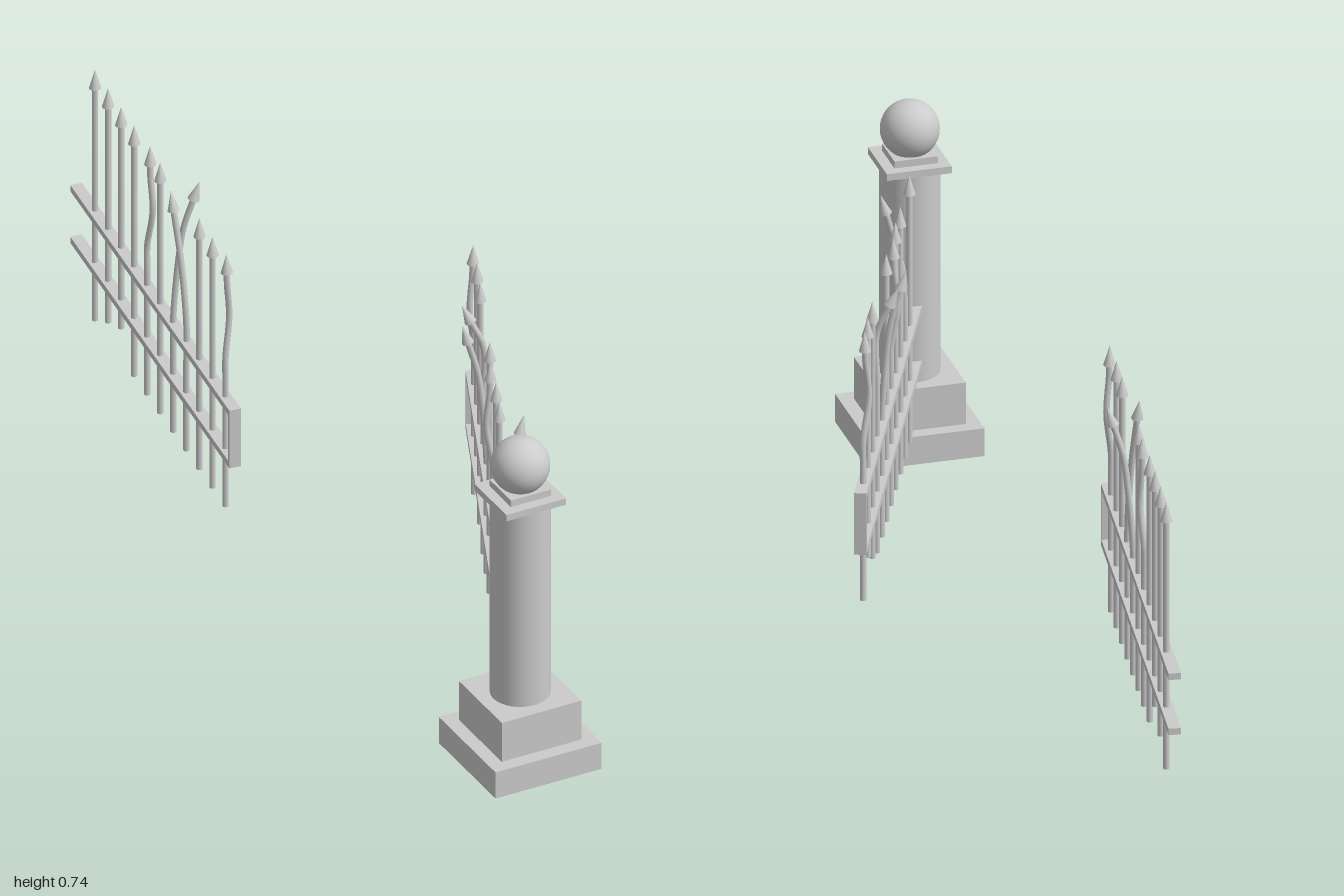
import * as THREE from 'three';

const material = new THREE.MeshStandardMaterial({ color: 0xcccccc, side: THREE.DoubleSide });
const UP = new THREE.Vector3(0, 1, 0);
const TOP = 0.605, BOTTOM = 0.062, BAR_RADIUS = 0.0065;

function add(parent, name, geometry, x = 0, y = 0, z = 0) {
  const mesh = new THREE.Mesh(geometry, material);
  mesh.name = name;
  mesh.position.set(x, y, z);
  parent.add(mesh);
  return mesh;
}

// Stone pillar: stepped base, round shaft, square cap and ball
function createPillar() {
  const pillar = new THREE.Group();
  pillar.name = 'pillar';
  const slab = (name, width, y0, y1) =>
    add(pillar, name, new THREE.BoxGeometry(width, y1 - y0, width), 0, (y0 + y1) / 2, 0);
  slab('lowerPlinth', 0.24, 0, 0.061);
  slab('upperPlinth', 0.18, 0.061, 0.152);
  add(pillar, 'shaft', new THREE.CylinderGeometry(0.061, 0.061, 0.455, 40), 0, 0.3785, 0);
  slab('cap', 0.135, 0.605, 0.62);
  slab('neck', 0.09, 0.62, 0.635);
  add(pillar, 'ball', new THREE.SphereGeometry(0.06, 32, 20), 0, 0.682, 0);
  return pillar;
}

// One spear-topped bar; bend is a list of [dx, y, dz] above the straight foot
function createBar(x, z, bottom, bend) {
  const bar = new THREE.Group();
  bar.name = 'bar';
  bar.position.set(x, 0, z);
  const points = bend.map(([dx, y, dz]) => new THREE.Vector3(dx, y, dz));
  const end = points[points.length - 1];
  let tilt = UP;
  if (points.length === 1) {
    const height = TOP - bottom;
    add(bar, 'rod', new THREE.CylinderGeometry(BAR_RADIUS, BAR_RADIUS, height, 10), 0, bottom + height / 2, 0);
  } else {
    const path = [new THREE.Vector3(0, bottom, 0), new THREE.Vector3(0, 0.25, 0), ...points];
    add(bar, 'rod', new THREE.TubeGeometry(new THREE.CatmullRomCurve3(path), 32, BAR_RADIUS, 10));
    add(bar, 'rodFoot', new THREE.CircleGeometry(BAR_RADIUS, 10).rotateX(Math.PI / 2), 0, bottom, 0);
    tilt = end.clone().sub(points[points.length - 2]).normalize();
  }
  const spear = add(bar, 'spearhead', new THREE.ConeGeometry(0.0125, 0.043, 10).translate(0, 0.0215, 0));
  spear.position.copy(end);
  spear.quaternion.setFromUnitVectors(UP, tilt);
  return bar;
}

// A run of rails from start to end [x, z], with a closing plate at the gate end
function createFence(name, start, end, gateAtEnd, firstBar, step, bends, bottoms) {
  const fence = new THREE.Group();
  fence.name = name;
  const dx = end[0] - start[0], dz = end[1] - start[1], length = Math.hypot(dx, dz);
  const frame = new THREE.Group();
  frame.name = 'railFrame';
  frame.position.set((start[0] + end[0]) / 2, 0, (start[1] + end[1]) / 2);
  frame.rotation.y = Math.atan2(-dz, dx);
  for (const y of [0.191, 0.312])
    add(frame, 'rail', new THREE.BoxGeometry(length, 0.014, 0.025), 0, y, 0);
  const side = gateAtEnd ? 1 : -1;
  add(frame, 'endPlate', new THREE.BoxGeometry(0.008, 0.107, 0.025), side * (length / 2 - 0.004), 0.2515, 0);
  fence.add(frame);
  for (let i = 0; i < 11; i++)
    fence.add(createBar(firstBar[0] + i * step[0], firstBar[1] + i * step[1],
      bottoms[i] ?? BOTTOM, bends[i] ?? [[0, TOP, 0]]));
  return fence;
}

// S-shaped dent that ends upright
const dent = (dx, dz) => [[0, 0.36, 0], [0, 0.41, 0], [dx, 0.5, dz], [dx * 0.45, 0.58, dz * 0.6], [dx * 0.4, TOP, dz * 0.6]];

export function createModel() {
  const model = new THREE.Group();
  model.name = 'brokenFence';

  const pillar = createPillar();
  pillar.position.set(-0.12, 0, 0.88);
  model.add(pillar);

  model.add(createFence('frontFence', [-0.118, 0.83], [0.242, -0.002], true,
    [-0.078, 0.74], [0.03, -0.0695], {
      1: [[0, 0.38, 0], [0.004, 0.47, 0], [0.022, 0.54, 0], [0.04, TOP, -0.003]],
      4: dent(-0.013, -0.004),
      6: [[0, 0.32, 0], [-0.007, 0.45, -0.004], [-0.016, 0.53, -0.008], [-0.036, TOP, -0.012]],
      7: [[0, 0.44, 0], [0, 0.545, 0], [-0.024, TOP, -0.01]],
      10: dent(-0.015, 0.01),
    }, { 8: 0.085, 9: 0.122 }));

  model.add(createFence('backFence', [-0.2446, -0.092], [-0.1195, -0.998], false,
    [-0.237, -0.147], [0.0104, -0.0746], {
      0: dent(0.011, -0.005),
      3: [[0, 0.36, 0], [-0.003, 0.5, -0.018], [-0.009, TOP, -0.037]],
      4: [[0, 0.33, 0], [0.009, 0.46, 0.004], [0.018, 0.54, 0.01], [0.036, TOP, 0.018]],
      6: dent(0.004, 0.016),
    }, { 8: 0.13, 9: 0.1 }));

  return model;
}
